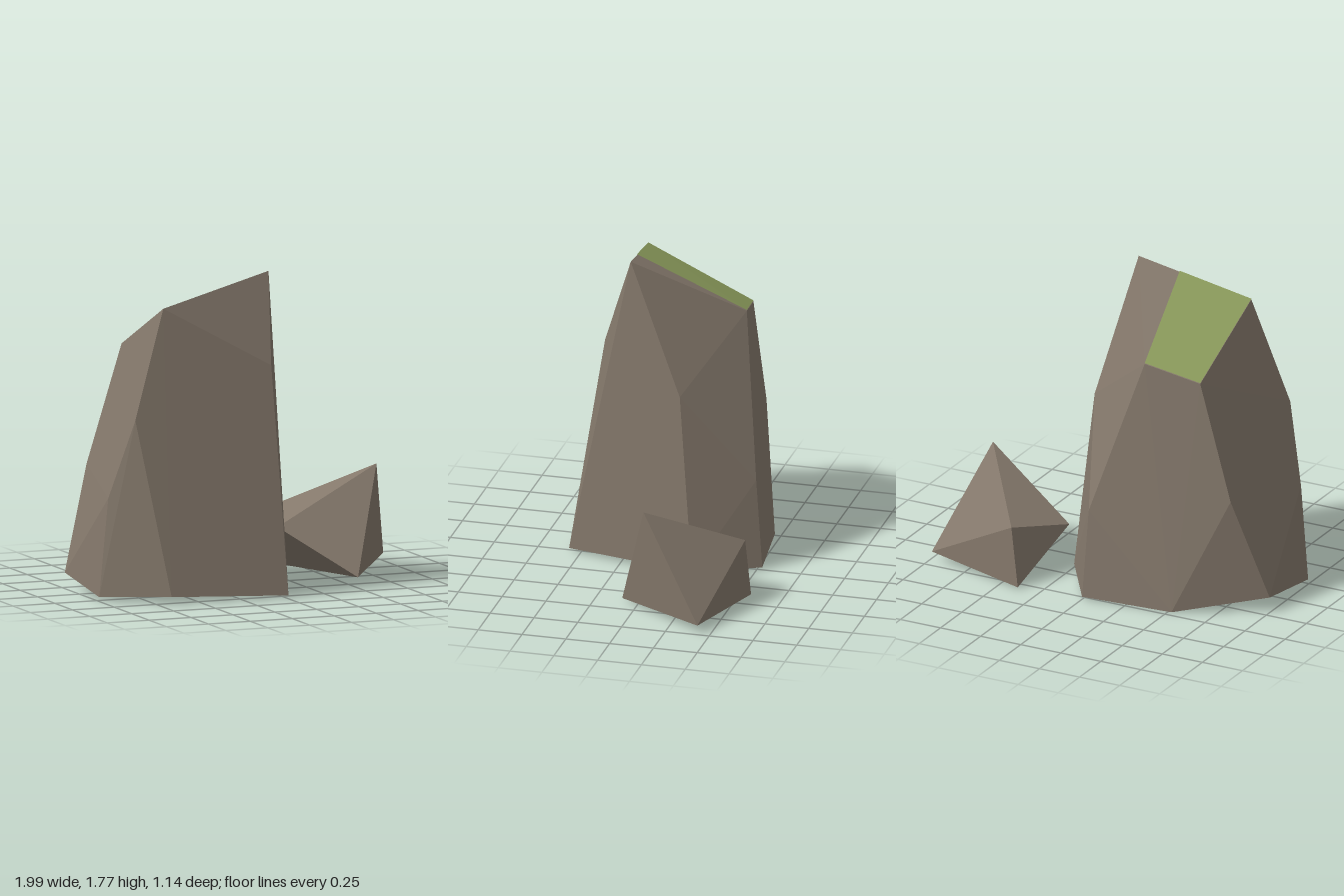
import * as THREE from 'three';
import { ConvexGeometry } from 'three/addons/geometries/ConvexGeometry.js';

const stone = new THREE.MeshStandardMaterial({ color: 0x84786b, flatShading: true });
stone.name = 'stone';
const moss = new THREE.MeshStandardMaterial({ color: 0x8a9a5b, flatShading: true });
moss.name = 'moss';

// A faceted rock wrapped around a few corner points.
function rock(name, corners) {
  const points = corners.map((c) => new THREE.Vector3(...c));
  const mesh = new THREE.Mesh(new ConvexGeometry(points), stone);
  mesh.name = name;
  return mesh;
}

export function createModel() {
  const group = new THREE.Group();
  group.name = 'rocks';

  // Corners of the slanted top of the tall rock
  const frontRight = [-0.62, 1.61, 0.29];
  const backRight = [-0.62, 1.33, -0.31];
  const backLeft = [-0.30, 1.405, -0.36];
  const peak = [0.04, 1.77, 0.21];

  group.add(rock('tallRock', [
    frontRight, backRight, backLeft, peak,
    // shoulders
    [-0.01, 1.27, 0.37], [0.15, 1.04, -0.10], [-0.82, 1.01, 0.37],
    [-0.82, 0.67, -0.33], [-0.94, 0.57, 0.27], [-0.02, 0.52, -0.49],
    // foot
    [0.01, 0.015, 0.57], [-0.67, 0.04, 0.53], [-0.99, 0.02, 0.26],
    [-1.0, 0.09, -0.21], [-0.52, 0, -0.46], [0, 0.015, -0.53], [0.23, 0.04, -0.19],
  ]));

  group.add(rock('smallRock', [
    [0.80, 0.61, -0.07], [0.43, 0.35, -0.55], [0.26, 0.27, -0.19],
    [0.99, 0.05, -0.43], [0.62, 0.01, 0.10], [0.38, 0.01, -0.57],
  ]));

  // Moss patch covering most of the slanted top
  const frontLeft = [-0.20, 1.712, 0.24];
  const geometry = new THREE.BufferGeometry();
  geometry.setAttribute('position', new THREE.Float32BufferAttribute(
    [frontRight, frontLeft, backLeft, backRight].flat(), 3));
  geometry.setIndex([0, 1, 2, 0, 2, 3]);
  geometry.computeVertexNormals();
  const patch = new THREE.Mesh(geometry, moss);
  patch.name = 'mossPatch';
  patch.position.y = 0.005;
  group.add(patch);

  return group;
}
